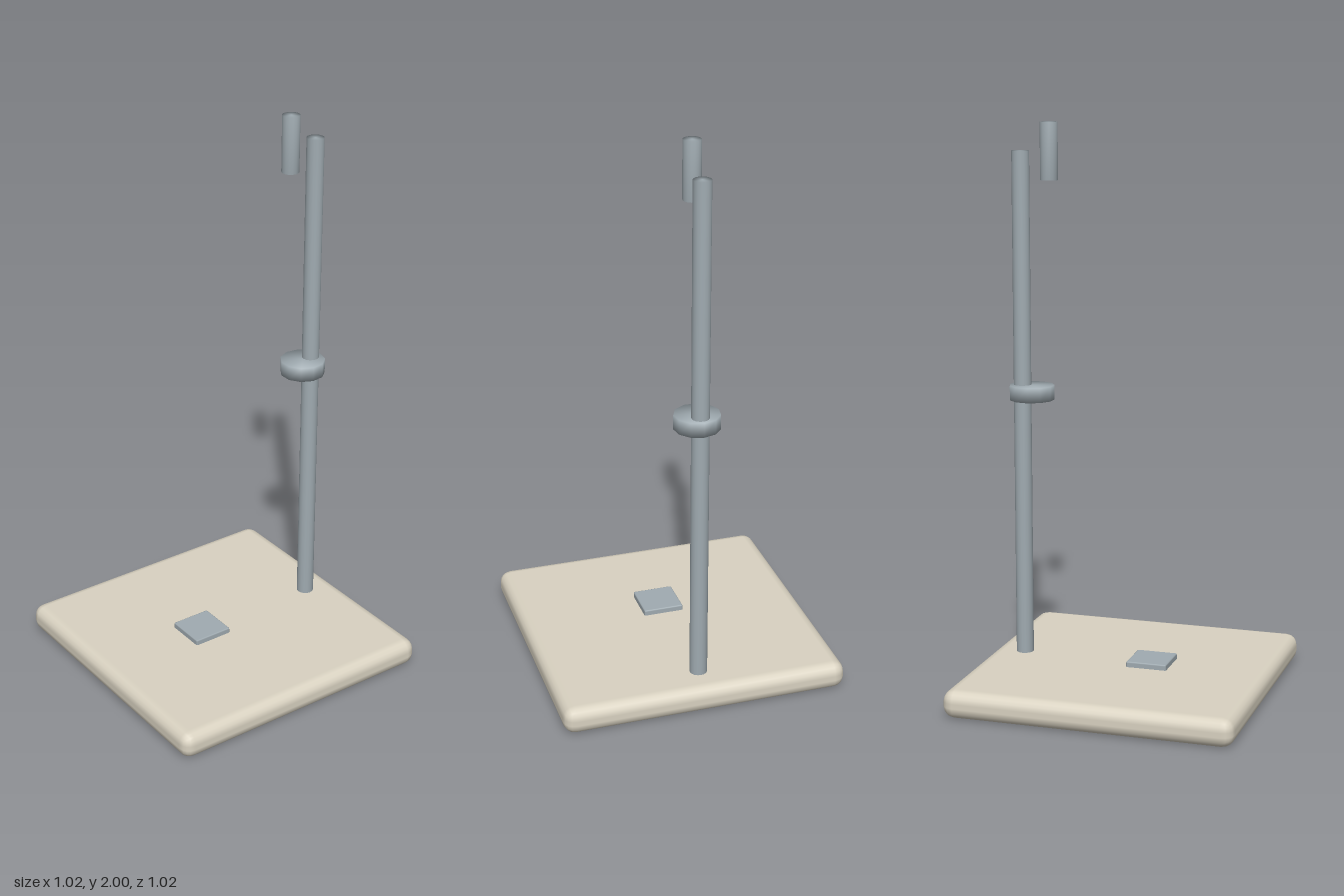
import * as THREE from 'three';
import { mergeVertices } from 'three/addons/utils/BufferGeometryUtils.js';
import { RoundedBoxGeometry } from 'three/addons/geometries/RoundedBoxGeometry.js';

const stone = new THREE.MeshStandardMaterial({ name: 'warm stone', color: 0xd9d2c1 });
const steel = new THREE.MeshStandardMaterial({ name: 'grey steel', color: 0xa0abb1 });

// Cylinder whose normals flow smoothly over the rims
function softCylinder(radius, height, sides) {
  const g = new THREE.CylinderGeometry(radius, radius, height, sides);
  g.deleteAttribute('normal');
  g.deleteAttribute('uv');
  const soft = mergeVertices(g, 1e-4);
  soft.computeVertexNormals();
  return soft;
}

export function createModel() {
  const model = new THREE.Group();
  model.name = 'showerStand';

  const add = (name, geometry, material, y, z) => {
    const mesh = new THREE.Mesh(geometry, material);
    mesh.name = name;
    mesh.position.set(0, y, z);
    model.add(mesh);
    return mesh;
  };

  // Square tray with rounded edges and the drain cover on top
  add('tray', new RoundedBoxGeometry(1.024, 0.1, 1.024, 2, 0.042), stone, 0.05, 0);
  add('drainCover', new RoundedBoxGeometry(0.147, 0.03, 0.147, 1, 0.005), steel, 0.105, 0.088);

  // Upright pole near the back edge
  add('pole', softCylinder(0.031, 1.8, 16), steel, 1.0, -0.39);

  // Eleven-sided control knob halfway up, set slightly forward of the pole
  const knob = add('knob', softCylinder(0.08, 0.052, 11), steel, 1.054, -0.355);
  knob.rotation.y = Math.PI;

  // Short upright head in front of the pole top
  add('head', softCylinder(0.031, 0.2, 16), steel, 1.9, -0.285);

  return model;
}
